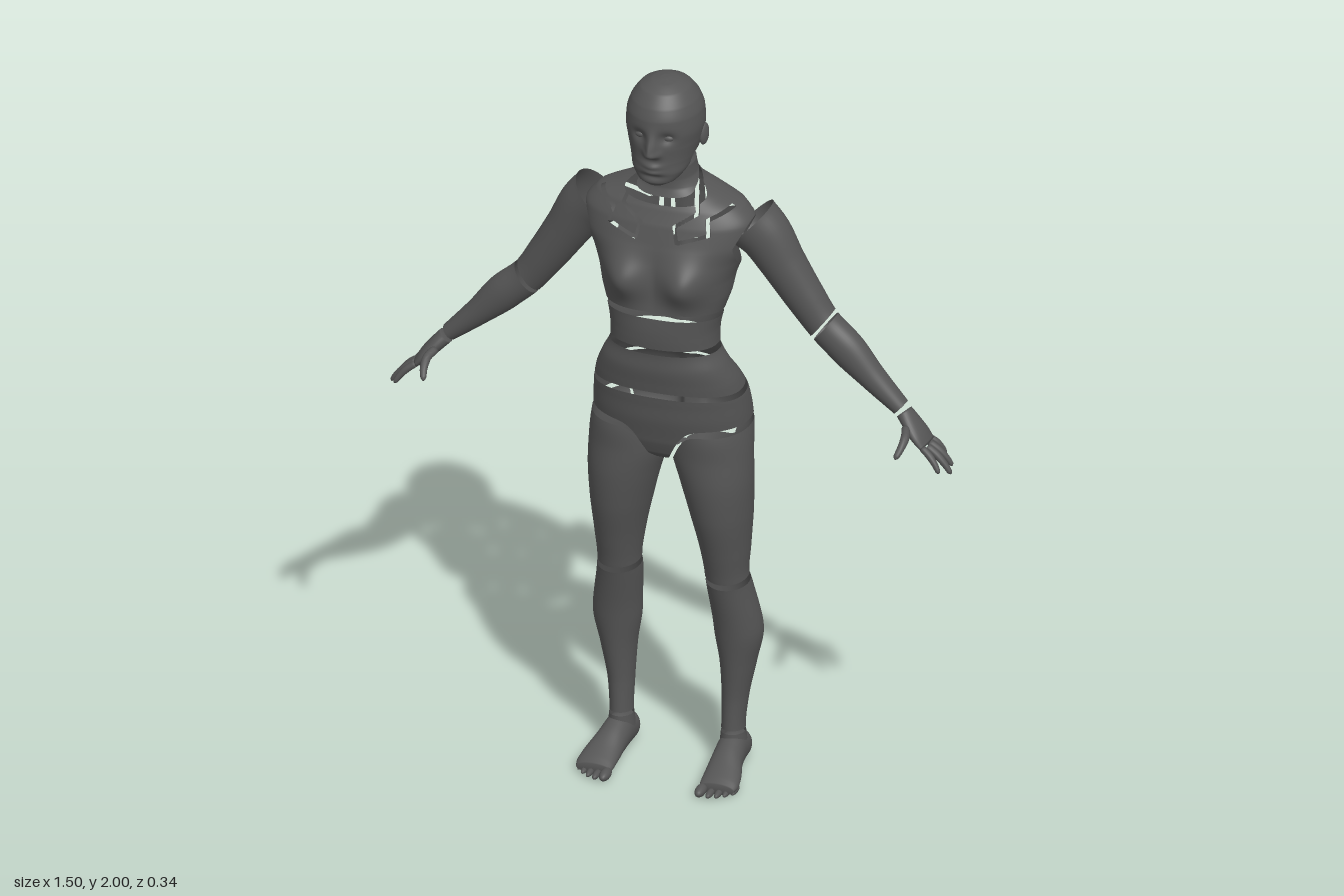
import * as THREE from 'three';

const V3 = THREE.Vector3;
const X = new V3(1, 0, 0), Y = new V3(0, 1, 0), Z = new V3(0, 0, 1);
const material = new THREE.MeshStandardMaterial({ color: 0x555555, side: THREE.DoubleSide });
const step = THREE.MathUtils.smoothstep, lerp = THREE.MathUtils.lerp;
const bell = (d, s) => Math.exp(-(d * d) / (s * s));

// Smooth loft through sections [x, y, z, radiusU, radiusV]; fixed frame (u, v) or one following the path
function sweep(sections, { u, v, seg = 32, steps = 6, power = 2, cap = false, shape } = {}) {
  const path = new THREE.CatmullRomCurve3(sections.map(s => new V3(s[0], s[1], s[2])));
  const size = new THREE.CatmullRomCurve3(sections.map(s => new V3(s[3], s[4], 0)));
  const rows = (sections.length - 1) * steps, rings = [];
  for (let i = 0; i <= rows; i++) rings.push([i / rows, 1]);
  if (cap) { rings.unshift([0, 0]); rings.push([1, 0]); }
  const pos = [], index = [];
  rings.forEach(([t, k], i) => {
    const c = path.getPoint(t), r = size.getPoint(t);
    const tan = path.getTangent(t);
    const U = u || new V3().crossVectors(Z, tan).normalize();
    const W = v || new V3().crossVectors(tan, U);
    for (let j = 0; j < seg; j++) {
      const a = j / seg * Math.PI * 2, ca = Math.cos(a), sa = Math.sin(a);
      const p = c.clone()
        .addScaledVector(U, k * r.x * Math.sign(ca) * Math.abs(ca) ** (2 / power))
        .addScaledVector(W, k * r.y * Math.sign(sa) * Math.abs(sa) ** (2 / power));
      if (shape) shape(p);
      pos.push(p.x, p.y, p.z);
      if (i < rings.length - 1) {
        const q = i * seg + j, n = i * seg + (j + 1) % seg;
        index.push(q, n, q + seg, n, n + seg, q + seg);
      }
    }
  });
  const g = new THREE.BufferGeometry();
  g.setAttribute('position', new THREE.Float32BufferAttribute(pos, 3));
  g.setIndex(index);
  g.computeVertexNormals();
  return g;
}

// Horizontal rings from rows [y, halfWidth, frontZ, backZ], listed from the top down
const stack = (rows, options) => sweep(
  rows.map(([y, w, f, b]) => [0, y, (f + b) / 2, w, (f - b) / 2]), { u: X, v: Z, ...options });

// Keep only the surface where field(p) > 0, cutting triangles along the border
function clip(geometry, field) {
  const g = geometry.toNonIndexed(), P = g.attributes.position, N = g.attributes.normal;
  const pos = [], nor = [];
  for (let i = 0; i < P.count; i += 3) {
    const tri = [0, 1, 2].map(k => {
      const p = new V3().fromBufferAttribute(P, i + k);
      return { p, n: new V3().fromBufferAttribute(N, i + k), f: field(p) };
    });
    const poly = [];
    tri.forEach((a, k) => {
      const b = tri[(k + 1) % 3];
      if (a.f > 0) poly.push(a);
      if (a.f > 0 !== b.f > 0) {
        const t = a.f / (a.f - b.f);
        poly.push({ p: a.p.clone().lerp(b.p, t), n: a.n.clone().lerp(b.n, t) });
      }
    });
    for (let k = 1; k + 1 < poly.length; k++)
      for (const c of [poly[0], poly[k], poly[k + 1]]) { pos.push(...c.p); nor.push(...c.n); }
  }
  const out = new THREE.BufferGeometry();
  out.setAttribute('position', new THREE.Float32BufferAttribute(pos, 3));
  out.setAttribute('normal', new THREE.Float32BufferAttribute(nor, 3));
  return out;
}

// Distance from (x, y) to a polyline
function lineDistance(x, y, pts) {
  let best = 9;
  for (let i = 0; i + 1 < pts.length; i++) {
    const [ax, ay] = pts[i], dx = pts[i + 1][0] - ax, dy = pts[i + 1][1] - ay;
    const t = THREE.MathUtils.clamp(((x - ax) * dx + (y - ay) * dy) / (dx * dx + dy * dy), 0, 1);
    best = Math.min(best, Math.hypot(x - ax - t * dx, y - ay - t * dy));
  }
  return best;
}

function part(parent, name, geometry) {
  const m = new THREE.Mesh(geometry, material);
  m.name = name;
  parent.add(m);
  return m;
}

function ball(parent, name, [x, y, z], [sx, sy, sz]) {
  const m = part(parent, name, new THREE.SphereGeometry(1, 20, 14));
  m.position.set(x, y, z);
  m.scale.set(sx, sy, sz);
  return m;
}

// Seam heights between the body panels
const neckSeam = p => 1.69 - 0.45 * p.z;
const ribSeam = p => 1.344 + 0.14 * p.z;
const waistSeam = p => 1.247 + 0.08 * p.z;
const hipSeam = p => 1.113 + 1.0 * p.z * p.z;
const legSeam = p => {
  const x = Math.abs(p.x);
  const front = 1.015 - 0.12 * bell(x, 0.05), back = lerp(0.925, 1.01, step(x, 0.13, 0.16));
  return lerp(back, front, step(p.z, -0.09, -0.04));
};
const between = (low, high, gap) => p => Math.min(p.y - low(p) - gap, high(p) - gap - p.y);

// Panel slits on the chest and the upper back
const frontSlit = [[0.085, 1.69], [0.1, 1.64], [0.045, 1.605], [0.055, 1.565], [0.135, 1.59], [0.125, 1.625], [0.19, 1.655]];
const backSlits = [
  [[0.035, 1.7], [0.03, 1.47]],
  [[0.2, 1.62], [0.09, 1.57], [0.06, 1.62], [0.065, 1.46], [0.1, 1.425], [0.13, 1.45]],
];

function chestField(p) {
  const x = Math.abs(p.x);
  const plane = (x - 0.2) * 0.89 - (p.y - 1.57) * 0.45;
  const armhole = Math.max(-plane, Math.hypot(x - 0.2, p.y - 1.58, p.z + 0.04) - 0.105);
  const slit = p.z > 0
    ? lineDistance(x, p.y, frontSlit) - 0.005
    : Math.min(...backSlits.map(s => lineDistance(x, p.y, s))) - 0.006;
  return Math.min(between(ribSeam, neckSeam, 0.009)(p), armhole, slit);
}

function buildTorso(body) {
  const torso = stack([
    [1.86, 0.06, 0.05, -0.075], [1.8, 0.064, 0.06, -0.078], [1.75, 0.064, 0.058, -0.08],
    [1.715, 0.068, 0.052, -0.088], [1.69, 0.085, 0.052, -0.1], [1.665, 0.14, 0.062, -0.112],
    [1.64, 0.195, 0.075, -0.118], [1.6, 0.225, 0.093, -0.122], [1.55, 0.222, 0.107, -0.122],
    [1.5, 0.197, 0.116, -0.12], [1.45, 0.178, 0.12, -0.115], [1.4, 0.168, 0.124, -0.105],
    [1.35, 0.152, 0.132, -0.092], [1.3, 0.142, 0.134, -0.08], [1.25, 0.142, 0.13, -0.073],
    [1.2, 0.165, 0.13, -0.08], [1.15, 0.187, 0.122, -0.115], [1.1, 0.2, 0.115, -0.15],
    [1.04, 0.206, 0.108, -0.17], [0.98, 0.208, 0.095, -0.175], [0.94, 0.2, 0.08, -0.16],
    [0.915, 0.17, 0.05, -0.12],
  ], {
    seg: 160, steps: 8, power: 2.2, cap: true,
    shape: p => {
      const x = Math.abs(p.x);
      if (p.z > 0) p.z += 0.046 * bell(x - 0.085, 0.058) * bell(p.y - 1.455, 0.06) * step(p.z, 0, 0.06);
      else {
        const back = step(-p.z, 0.02, 0.08);
        p.z += back * bell(x, 0.02) * (0.05 * bell(p.y - 0.98, 0.09) + 0.012 * bell(p.y - 1.4, 0.2));
      }
    },
  });
  part(body, 'neck', clip(torso, p => Math.min(p.y - neckSeam(p) - 0.006, 1.8 - 0.3 * p.z - p.y)));
  part(body, 'chest', clip(torso, chestField));
  part(body, 'midriff', clip(torso, between(waistSeam, ribSeam, 0.009)));
  part(body, 'abdomen', clip(torso, between(hipSeam, waistSeam, 0.008)));
  part(body, 'pelvis', clip(torso, between(legSeam, hipSeam, 0.008)));
}

function buildHead(body) {
  const head = stack([
    [2.0, 0.01, 0.04, 0.015], [1.995, 0.036, 0.068, -0.012], [1.98, 0.064, 0.097, -0.045],
    [1.95, 0.086, 0.122, -0.072], [1.92, 0.097, 0.134, -0.085], [1.88, 0.1, 0.137, -0.09],
    [1.84, 0.094, 0.134, -0.085], [1.8, 0.083, 0.134, -0.06], [1.77, 0.071, 0.135, -0.005],
    [1.745, 0.05, 0.132, 0.04], [1.732, 0.024, 0.118, 0.08],
  ], {
    seg: 96, steps: 10, cap: true,
    shape: p => {
      const x = Math.abs(p.x), face = step(p.z, 0.05, 0.1);
      const nose = 0.03 * bell(x, 0.014) * (p.y < 1.835 ? bell(p.y - 1.835, 0.013) : bell(p.y - 1.835, 0.038));
      const nostrils = 0.01 * bell(x - 0.014, 0.01) * bell(p.y - 1.829, 0.01);
      const sockets = -0.014 * bell(x - 0.036, 0.02) * bell(p.y - 1.872, 0.016);
      const lips = 0.008 * bell(x, 0.024) * (bell(p.y - 1.793, 0.008) + bell(p.y - 1.777, 0.008));
      const chin = -0.006 * bell(x, 0.03) * bell(p.y - 1.763, 0.009);
      p.z += face * (nose + nostrils + sockets + lips + chin);
    },
  });
  part(body, 'head', clip(head, p => Math.max(p.y - 1.82 + 0.3 * p.z, p.z - 0.055)));
}

// One side's limbs, on +x
function buildSide(side) {
  const ear = ball(side, 'ear', [0.098, 1.845, 0.012], [0.009, 0.03, 0.018]);
  ear.rotation.set(-0.15, -0.3, 0);
  ball(side, 'eye', [0.036, 1.871, 0.112], [0.015, 0.009, 0.009]);

  // Arm, divided at the elbow and wrist
  const arm = sweep([
    [0.205, 1.585, -0.045, 0.078, 0.068], [0.24, 1.55, -0.048, 0.071, 0.064], [0.287, 1.477, -0.05, 0.06, 0.056],
    [0.34, 1.395, -0.053, 0.053, 0.049], [0.397, 1.315, -0.055, 0.047, 0.043], [0.455, 1.262, -0.052, 0.048, 0.042],
    [0.53, 1.187, -0.05, 0.035, 0.035], [0.605, 1.118, -0.047, 0.023, 0.027],
  ], { seg: 40, steps: 8 });
  const elbow = p => (p.x - 0.397) * 0.79 - (p.y - 1.315) * 0.61;
  part(side, 'upperArm', clip(arm, p => -elbow(p) - 0.006));
  part(side, 'forearm', clip(arm, p => elbow(p) - 0.006));

  // Hand
  part(side, 'palm', sweep([
    [0.614, 1.107, -0.046, 0.021, 0.026], [0.635, 1.085, -0.04, 0.02, 0.035],
    [0.66, 1.057, -0.034, 0.018, 0.043], [0.68, 1.034, -0.032, 0.012, 0.042],
  ], { cap: true }));
  const fingers = [
    ['littleFinger', [0.675, 1.035, -0.067], [0.714, 0.988, -0.08], 0.008],
    ['ringFinger', [0.683, 1.032, -0.044], [0.742, 0.972, -0.05], 0.009],
    ['middleFinger', [0.685, 1.032, -0.021], [0.75, 0.967, -0.016], 0.0095],
    ['indexFinger', [0.68, 1.036, 0.001], [0.73, 0.982, 0.02], 0.009],
    ['thumb', [0.632, 1.08, -0.008], [0.632, 1.035, 0.077], 0.011],
  ];
  for (const [name, a, b, r] of fingers) {
    const bend = name === 'thumb' ? 0.01 : 0.004;
    part(side, name, sweep([[0, 1], [0.35, 1.05], [0.7, 0.9], [0.93, 0.7], [1, 0.25]].map(([t, k]) => {
      const lift = bend * Math.sin(t * Math.PI);
      return [lerp(a[0], b[0], t) + lift, lerp(a[1], b[1], t) + lift, lerp(a[2], b[2], t), r * k, r * k];
    }), { seg: 14, steps: 4, cap: true }));
  }

  // Leg, divided at the hip, knee and ankle
  const leg = sweep([
    [0.1, 1.06, -0.035, 0.1, 0.115], [0.107, 1.0, -0.03, 0.103, 0.12], [0.11, 0.93, -0.018, 0.105, 0.107],
    [0.123, 0.85, -0.015, 0.094, 0.103], [0.134, 0.75, -0.022, 0.079, 0.097], [0.141, 0.65, -0.029, 0.064, 0.079],
    [0.144, 0.57, -0.033, 0.056, 0.064], [0.147, 0.53, -0.044, 0.058, 0.066], [0.162, 0.4, -0.07, 0.063, 0.067],
    [0.16, 0.3, -0.075, 0.047, 0.058], [0.153, 0.2, -0.072, 0.034, 0.045], [0.15, 0.12, -0.065, 0.03, 0.04],
    [0.15, 0.05, -0.065, 0.036, 0.046],
  ], { u: X, v: Z, seg: 56, steps: 8 });
  const knee = p => 0.553 - 0.1 * p.z, ankle = p => 0.108 + 0.1 * p.z;
  part(side, 'thigh', clip(leg, p => Math.min(legSeam(p) - 0.008 - p.y, p.y - knee(p) - 0.01)));
  part(side, 'shin', clip(leg, between(ankle, knee, 0.008)));
  part(side, 'ankle', clip(leg, p => ankle(p) - 0.002 - p.y));

  // Foot and toes
  part(side, 'foot', sweep([
    [0.15, 0.035, -0.136, 0.012, 0.016], [0.15, 0.038, -0.125, 0.028, 0.033], [0.15, 0.044, -0.1, 0.036, 0.043],
    [0.152, 0.05, -0.05, 0.038, 0.049], [0.156, 0.043, 0, 0.041, 0.042], [0.163, 0.031, 0.05, 0.048, 0.03],
    [0.166, 0.022, 0.09, 0.05, 0.021], [0.165, 0.018, 0.11, 0.046, 0.014],
  ], { u: X, v: Y, seg: 36, cap: true }));
  for (let i = 0; i < 5; i++) {
    const r = i ? 0.0095 - 0.0005 * i : 0.014;
    ball(side, 'toe', [[0.128, 0.152, 0.172, 0.19, 0.206][i], r + 0.001, 0.122 - 0.0025 * i * i],
      [r, r, i ? 0.026 : 0.03]);
  }
}

export function createModel() {
  const body = new THREE.Group();
  body.name = 'figure';
  buildTorso(body);
  buildHead(body);
  const left = new THREE.Group();
  left.name = 'leftSide';
  buildSide(left);
  const right = left.clone();
  right.name = 'rightSide';
  right.scale.x = -1;
  body.add(left, right);
  return body;
}
